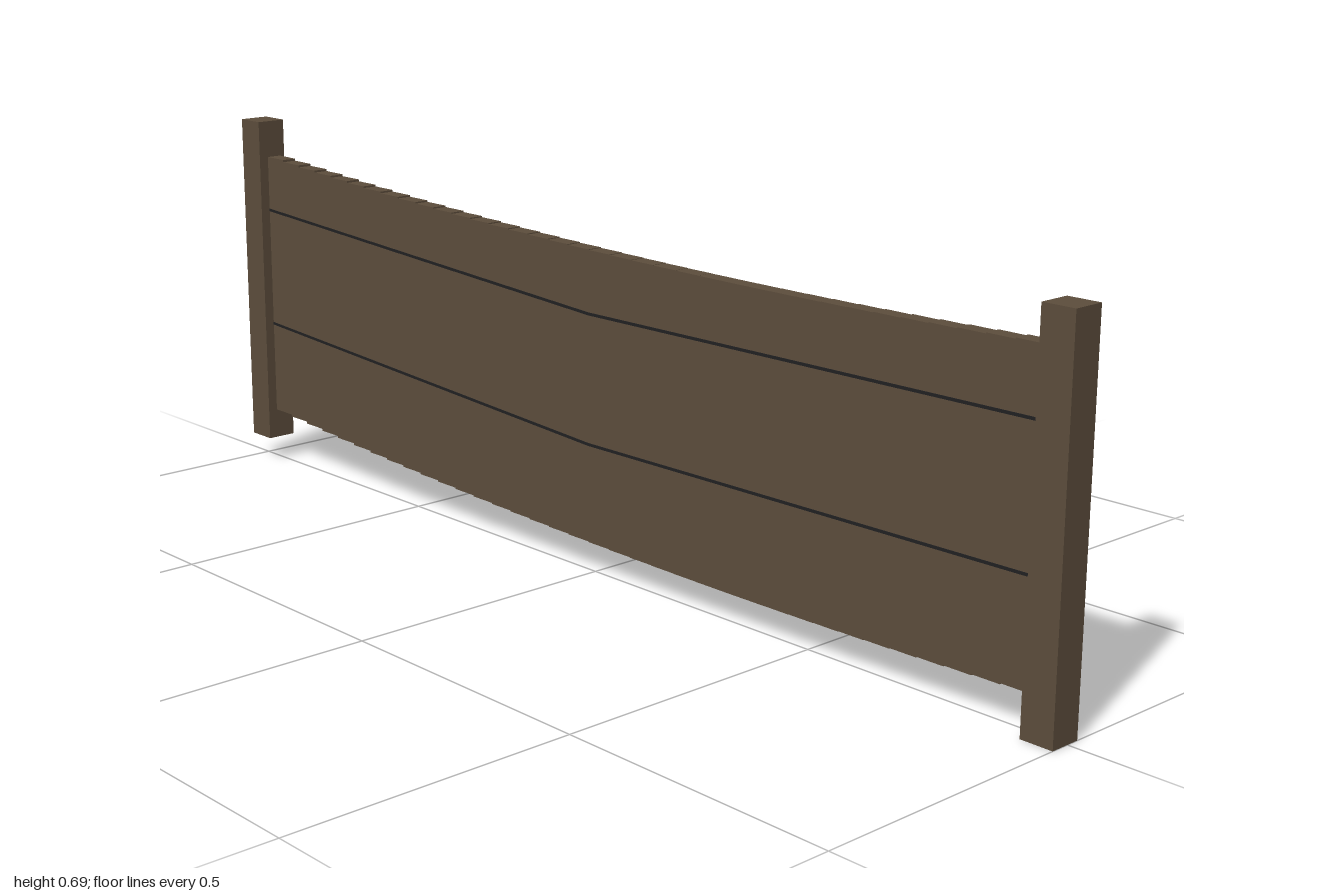
import * as THREE from 'three';

const HALF = 0.941;            // half width of the gate leaf between the posts
const BACK = -0.012, FRONT = 0.016;
const LEAF_HEIGHT = 0.512;

// Sagging top line of the gate leaf
const topAt = (x) => 0.5695 - 0.0213 * x + 0.0318 * x * x;

export function createModel() {
  const group = new THREE.Group();
  const wood = new THREE.MeshStandardMaterial({ color: 0x5c4d3c });
  wood.name = 'brown wood';
  const iron = new THREE.MeshStandardMaterial({ color: 0x202022 });
  iron.name = 'dark iron';

  const add = (name, geometry, material, x, y, z) => {
    const mesh = new THREE.Mesh(geometry, material);
    mesh.name = name;
    mesh.position.set(x, y, z);
    group.add(mesh);
    return mesh;
  };

  // Square end posts, the left one standing lower
  const post = new THREE.BoxGeometry(0.058, 0.639, 0.057);
  add('rightPost', post, wood, -0.971, 0.366, 0.0055);
  add('leftPost', post, wood, 0.971, 0.3195, 0.0055);

  // Leaf of narrow upright slats, each stepped to follow the sag
  const SLATS = 36;
  const step = (2 * HALF) / SLATS;
  const upper = [], lower = [];
  for (let i = 0; i < SLATS; i++) {
    const x = -HALF + i * step;
    const y = topAt(x + step / 2);
    upper.push(new THREE.Vector2(x, y), new THREE.Vector2(x + step, y));
    lower.push(new THREE.Vector2(x, y - LEAF_HEIGHT), new THREE.Vector2(x + step, y - LEAF_HEIGHT));
  }
  const outline = new THREE.Shape([...lower, ...upper.reverse()]);
  const leaf = new THREE.ExtrudeGeometry(outline, { depth: FRONT - BACK, bevelEnabled: false });
  add('slatPanel', leaf, wood, 0, 0, BACK);

  // Thin iron rails, each bent once in the middle, showing on both faces
  const rail = (name, yRight, yMid, yLeft) => {
    const h = 0.0025;
    const shape = new THREE.Shape([
      new THREE.Vector2(-HALF, yRight - h), new THREE.Vector2(0, yMid - h),
      new THREE.Vector2(HALF, yLeft - h), new THREE.Vector2(HALF, yLeft + h),
      new THREE.Vector2(0, yMid + h), new THREE.Vector2(-HALF, yRight + h),
    ]);
    const depth = FRONT - BACK + 0.002;
    add(name, new THREE.ExtrudeGeometry(shape, { depth, bevelEnabled: false }), iron, 0, 0, BACK - 0.001);
  };
  rail('upperRail', 0.511, 0.46, 0.468);
  rail('lowerRail', 0.282, 0.232, 0.24);

  // Hinge barrels at the rail ends
  const barrel = new THREE.CylinderGeometry(0.008, 0.008, 0.038, 12);
  for (const [side, x, heights] of [['right', -0.937, [0.508, 0.28]], ['left', 0.934, [0.467, 0.239]]]) {
    heights.forEach((y, i) => add(side + (i ? 'LowerHinge' : 'UpperHinge'), barrel, iron, x, y, -0.025));
  }

  // Pull bar on the back
  const bar = new THREE.CylinderGeometry(0.008, 0.008, 0.145, 12);
  bar.rotateZ(Math.PI / 2);
  add('handle', bar, iron, -0.002, 0.308, -0.019);

  return group;
}
